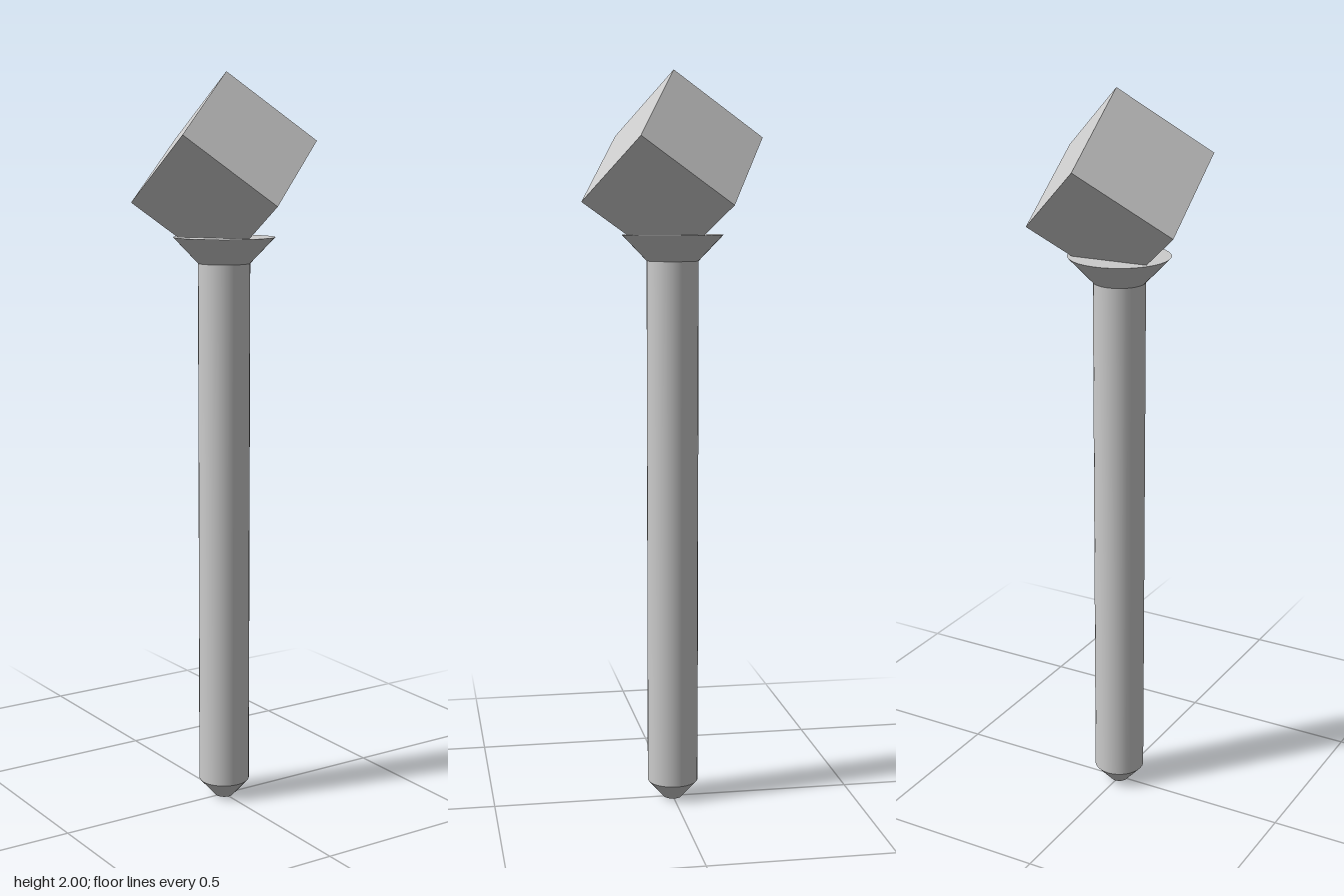
import * as THREE from 'three';

export function createModel() {
  const group = new THREE.Group();
  const material = new THREE.MeshStandardMaterial({ color: 0xcccccc });

  const add = (name, geometry, y) => {
    const mesh = new THREE.Mesh(geometry, material);
    mesh.name = name;
    mesh.position.y = y;
    group.add(mesh);
    return mesh;
  };

  // Round section between two heights
  const section = (name, rTop, rBottom, y0, y1) =>
    add(name, new THREE.CylinderGeometry(rTop, rBottom, y1 - y0, 32), (y0 + y1) / 2);

  section('tip', 0.07, 0.025, 0, 0.05);
  section('shaft', 0.07, 0.07, 0.05, 1.5);
  section('collar', 0.137, 0.07, 1.5, 1.57);

  // Cube balanced on one corner, its axes taken from two edges at the top corner
  const head = add('cubeHead', new THREE.BoxGeometry(0.3, 0.3, 0.3), 1.742);
  const ax = new THREE.Vector3(0.21, -0.18, 0.12).normalize();
  const az = new THREE.Vector3().crossVectors(ax, new THREE.Vector3(-0.22, -0.165, 0.127)).normalize();
  const ay = new THREE.Vector3().crossVectors(az, ax);
  head.quaternion.setFromRotationMatrix(new THREE.Matrix4().makeBasis(ax, ay, az));

  return group;
}
